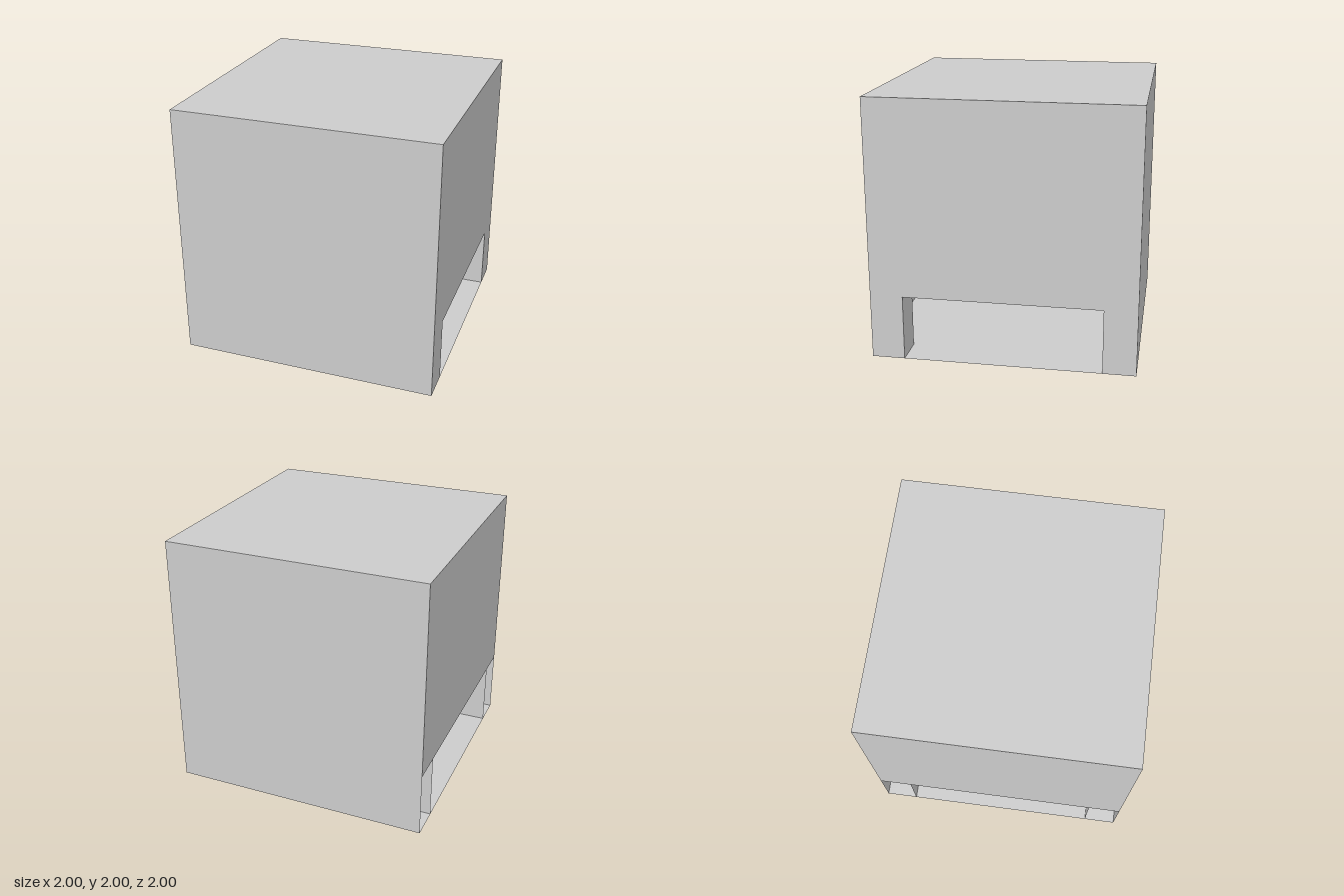
import * as THREE from 'three';

export function createModel() {
  const model = new THREE.Group();
  const grey = new THREE.MeshStandardMaterial({ color: 0xcccccc, side: THREE.DoubleSide });
  grey.name = 'plain grey';

  function add(name, geometry, x, y, z) {
    const mesh = new THREE.Mesh(geometry, grey);
    mesh.name = name;
    mesh.position.set(x, y, z);
    model.add(mesh);
    return mesh;
  }

  // Main block
  add('body', new THREE.BoxGeometry(2, 1.5, 2), 0, 1.25, 0);

  // Bar under the block
  add('underBar', new THREE.BoxGeometry(1, 0.125, 0.25), 0, 0.4375, 0);

  // Corner legs; the ones on the -x side are open on their outer face
  for (const x of [-1, 1]) {
    for (const z of [-1, 1]) {
      const leg = new THREE.BoxGeometry(0.25, 0.5, 0.25);
      if (x < 0) {
        const faces = Array.from(leg.index.array);
        faces.splice(6, 6);
        leg.setIndex(faces);
        leg.clearGroups();
      }
      add((z > 0 ? 'front' : 'back') + (x > 0 ? 'Left' : 'Right') + 'Leg', leg, x * 0.875, 0.25, z * 0.875);
    }
  }

  // Thin skirts closing the front and back between the legs
  add('frontSkirt', new THREE.PlaneGeometry(2, 0.5), 0, 0.25, 1);
  add('backSkirt', new THREE.PlaneGeometry(2, 0.5).rotateY(Math.PI), 0, 0.25, -1);

  // Thin floor
  add('floor', new THREE.PlaneGeometry(2, 2).rotateX(Math.PI / 2), 0, 0, 0);

  return model;
}
